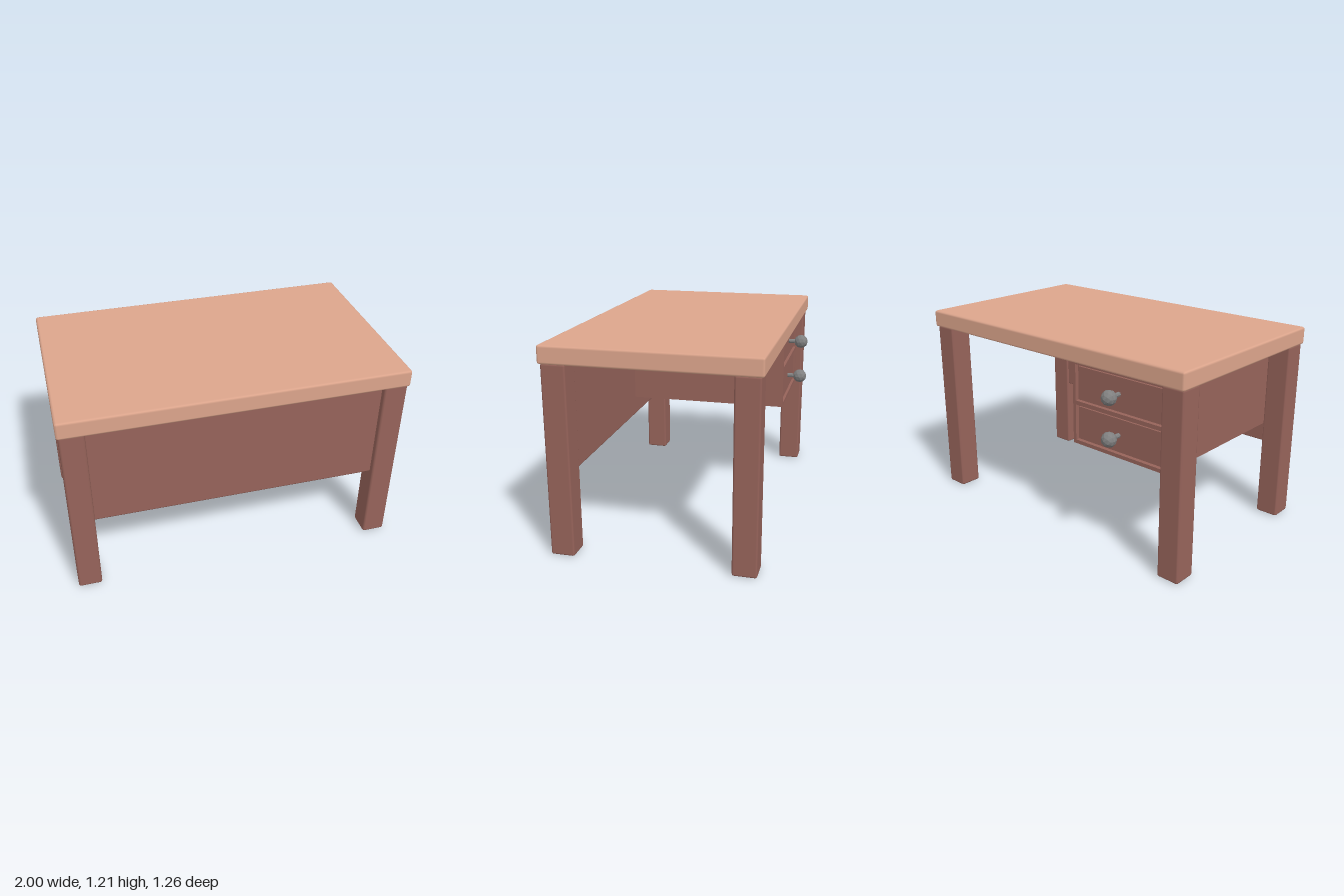
import * as THREE from 'three';
import { RoundedBoxGeometry } from 'three/addons/geometries/RoundedBoxGeometry.js';

const topWood = new THREE.MeshStandardMaterial({ color: 0xdca58c });
const darkWood = new THREE.MeshStandardMaterial({ color: 0x96635a });
const knobMetal = new THREE.MeshStandardMaterial({ color: 0x808080, flatShading: true });

// Block given by its extents on each axis, optionally with softened edges
function block(name, [x0, x1], [y0, y1], [z0, z1], material, radius = 0) {
  const size = [x1 - x0, y1 - y0, z1 - z0];
  const geometry = radius
    ? new RoundedBoxGeometry(...size, 1, radius)
    : new THREE.BoxGeometry(...size);
  const mesh = new THREE.Mesh(geometry, material);
  mesh.name = name;
  mesh.position.set((x0 + x1) / 2, (y0 + y1) / 2, (z0 + z1) / 2);
  return mesh;
}

function rectangle(target, x0, x1, y0, y1) {
  target.moveTo(x0, y0);
  target.lineTo(x1, y0);
  target.lineTo(x1, y1);
  target.lineTo(x0, y1);
  target.closePath();
  return target;
}

export function createModel() {
  const desk = new THREE.Group();
  desk.name = 'desk';

  // Thick slab on four square legs
  desk.add(block('tabletop', [-1, 1], [1.105, 1.21], [-0.575, 0.63], topWood, 0.014));
  for (const side of [-1, 1]) {
    const x = side > 0 ? [0.85, 0.99] : [-0.99, -0.85];
    const label = side > 0 ? 'left' : 'right';
    desk.add(block(label + 'FrontLeg', x, [0, 1.11], [0.477, 0.617], darkWood, 0.012));
    desk.add(block(label + 'BackLeg', x, [0, 1.11], [-0.56, -0.42], darkWood, 0.012));
  }

  // Modesty panel between the front legs
  desk.add(block('frontPanel', [-0.855, 0.855], [0.48, 1.11], [0.49, 0.585], darkWood, 0.01));

  // Drawer cabinet behind the panel
  const cabinet = new THREE.Group();
  cabinet.name = 'drawerCabinet';
  const left = -0.185, right = -0.85, centre = -0.52;
  cabinet.add(block('cabinetBody', [right, left], [0.6, 1.106], [-0.49, 0.495], darkWood));

  // Face frame with one opening per drawer
  const frameShape = rectangle(new THREE.Shape(), right, left, 0.6, 1.106);
  const drawerHeights = [0.73, 0.97];
  for (const y of drawerHeights) {
    frameShape.holes.push(rectangle(new THREE.Path(), right + 0.02, left - 0.02, y - 0.108, y + 0.108));
  }
  const frame = new THREE.Mesh(
    new THREE.ExtrudeGeometry(frameShape, { depth: 0.027, bevelEnabled: false }), darkWood);
  frame.name = 'drawerFrame';
  frame.position.z = -0.515;
  cabinet.add(frame);

  // Inset drawer fronts, each with a faceted knob on a short stem
  for (const y of drawerHeights) {
    const drawer = new THREE.Group();
    drawer.name = 'drawer';
    drawer.add(block('drawerFront', [right + 0.032, left - 0.032], [y - 0.096, y + 0.096], [-0.503, -0.48], darkWood));

    const stem = new THREE.Mesh(new THREE.CylinderGeometry(0.014, 0.014, 0.08, 8), knobMetal);
    stem.name = 'knobStem';
    stem.rotation.x = Math.PI / 2;
    stem.position.set(centre, y, -0.535);

    const knob = new THREE.Mesh(new THREE.IcosahedronGeometry(0.045, 1), knobMetal);
    knob.name = 'knob';
    knob.position.set(centre, y, -0.585);
    drawer.add(stem, knob);
    cabinet.add(drawer);
  }
  desk.add(cabinet);

  return desk;
}
